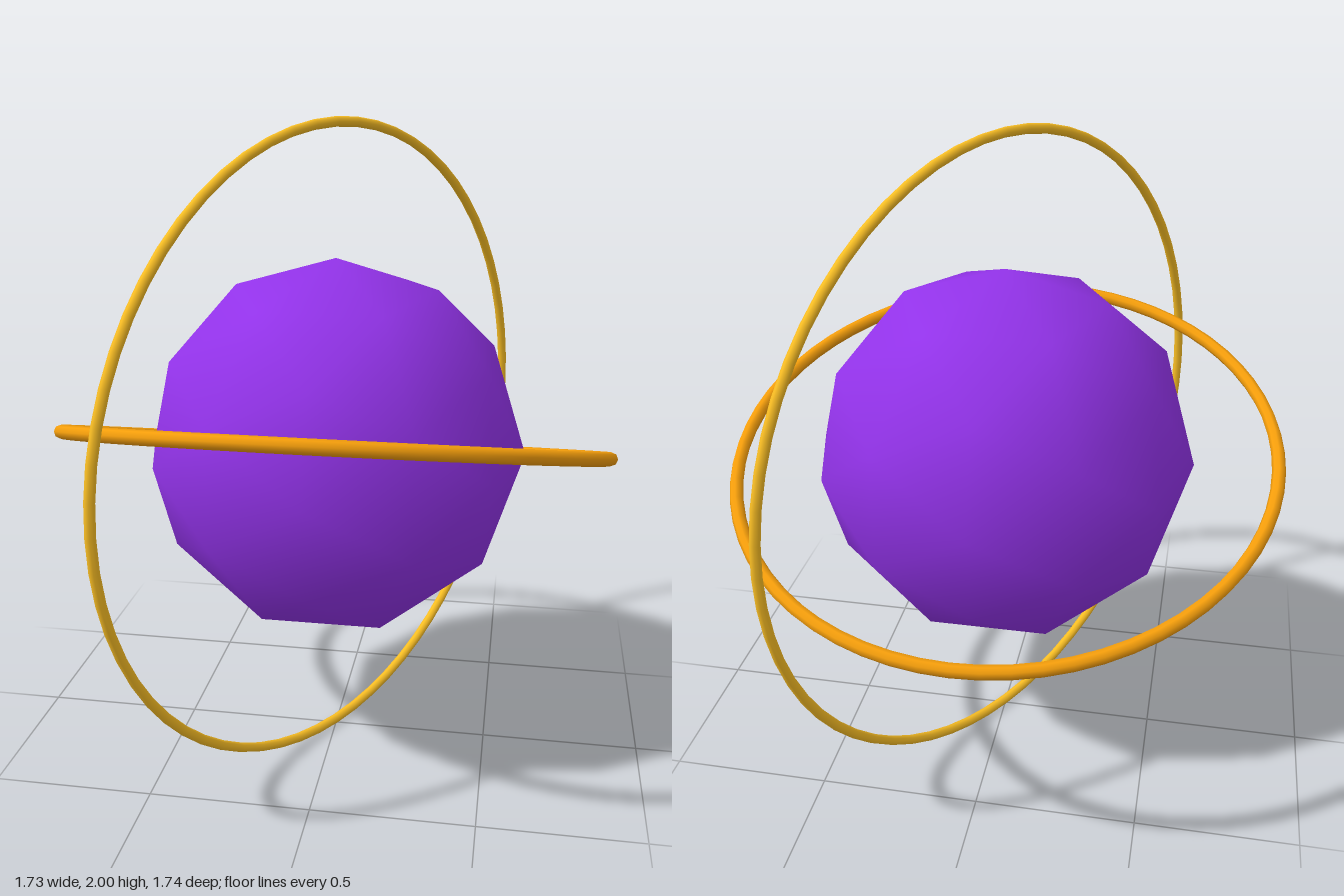
import * as THREE from 'three';

export function createModel() {
  const model = new THREE.Group();
  model.name = 'ringedOrb';

  // Every part shares the centre at y = 1
  const add = (name, geometry, color) => {
    const mesh = new THREE.Mesh(geometry, new THREE.MeshStandardMaterial({ color }));
    mesh.name = name;
    mesh.position.y = 1;
    model.add(mesh);
    return mesh;
  };

  // Core: once-subdivided icosahedron with smooth normals
  add('core', new THREE.IcosahedronGeometry(0.59, 1), 0x9333ea);

  // Thicker ring, tilted up towards the front
  const tiltedRing = add('tiltedRing', new THREE.TorusGeometry(0.846, 0.021, 8, 64), 0xf59e0b);
  tiltedRing.rotation.x = Math.PI / 2.5;

  // Thin upright ring, turned about the vertical axis
  const uprightRing = add('uprightRing', new THREE.TorusGeometry(0.985, 0.015, 8, 64), 0xfbbf24);
  uprightRing.rotation.y = Math.PI / 3;

  return model;
}
